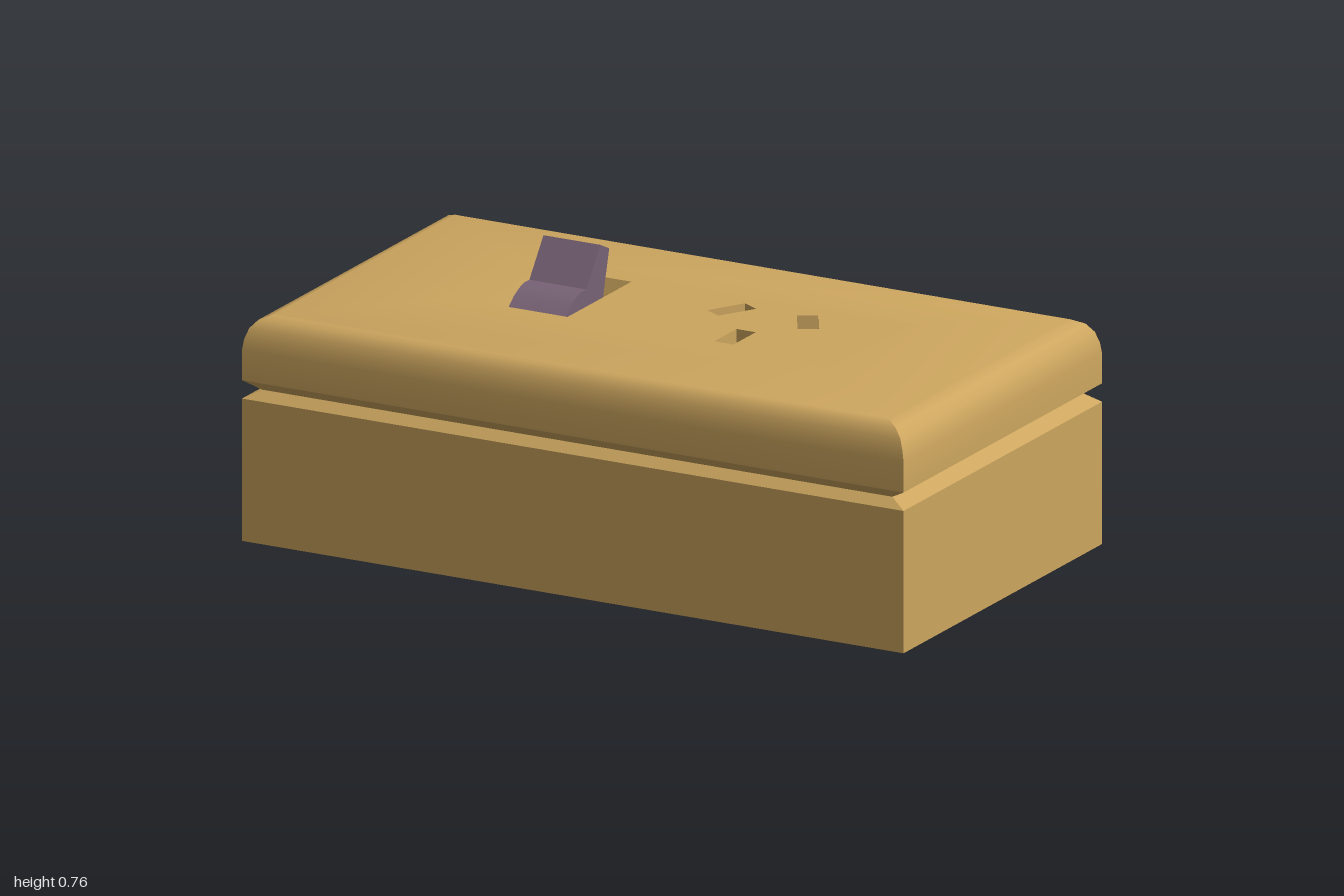
import * as THREE from 'three';
import { toCreasedNormals } from 'three/addons/utils/BufferGeometryUtils.js';

const TOP = 0.638;

// four [x, z] corners, counter-clockwise seen from above
const rect = (x, z, hx, hz, turn = 0) =>
  [[hx, hz], [hx, -hz], [-hx, -hz], [-hx, hz]].map(([a, b]) => [
    x + a * Math.cos(turn) + b * Math.sin(turn),
    z - a * Math.sin(turn) + b * Math.cos(turn),
  ]);

// skin over a list of four-cornered rings, each { c: corners, y }
function loft(rings, { capStart = false, capEnd = false } = {}) {
  const pos = [];
  const point = (r, j) => [r.c[j % 4][0], r.y, r.c[j % 4][1]];
  const quad = (a, b, c, d) => pos.push(...a, ...b, ...c, ...a, ...c, ...d);
  for (let i = 0; i < rings.length - 1; i++) {
    const r = rings[i], s = rings[i + 1];
    for (let j = 0; j < 4; j++) quad(point(r, j), point(r, j + 1), point(s, j + 1), point(s, j));
  }
  const first = rings[0], last = rings[rings.length - 1];
  if (capStart) quad(...[3, 2, 1, 0].map((j) => point(first, j)));
  if (capEnd) quad(...[0, 1, 2, 3].map((j) => point(last, j)));
  const g = new THREE.BufferGeometry();
  g.setAttribute('position', new THREE.Float32BufferAttribute(pos, 3));
  return toCreasedNormals(g, 0.6);
}

export function createModel() {
  const group = new THREE.Group();
  const tan = new THREE.MeshStandardMaterial({ color: 0xcda65f });
  tan.name = 'tan';
  const purple = new THREE.MeshStandardMaterial({ color: 0x776275 });
  purple.name = 'dusty purple';
  const add = (name, geometry, material) => {
    const mesh = new THREE.Mesh(geometry, material);
    mesh.name = name;
    group.add(mesh);
  };
  const ring = ([hx, hz, y]) => ({ c: rect(0, 0, hx, hz), y });

  // box below the groove
  add('base', loft([[1, 0.54, 0], [1, 0.54, 0.395], [0.952, 0.515, 0.42]].map(ring), { capStart: true }), tan);

  // rounded cover plate with a slightly domed top
  add('cover', loft([
    [0.952, 0.515, 0.42], [1, 0.54, 0.446], [1, 0.54, 0.53], [0.995, 0.537, 0.56],
    [0.984, 0.529, 0.59], [0.963, 0.516, 0.613], [0.93, 0.493, 0.626], [0.6, 0.22, TOP],
  ].map(ring)), tan);

  // openings in the middle of the top
  const switchHole = rect(-0.355, -0.007, 0.132, 0.174);
  const slots = [
    rect(0.125, -0.1, 0.028, 0.058, -Math.PI / 6),
    rect(0.355, -0.1, 0.028, 0.058, Math.PI / 6),
    rect(0.247, 0.102, 0.029, 0.061),
  ];
  const toPoints = (c) => c.map(([x, z]) => new THREE.Vector2(x, -z));
  const face = new THREE.Shape(toPoints(rect(0, 0, 0.6, 0.22)));
  face.holes = [switchHole, ...slots].map((c) => new THREE.Path(toPoints(c)));
  add('topFace', new THREE.ShapeGeometry(face).rotateX(-Math.PI / 2).translate(0, TOP, 0), tan);

  // recess around the switch and the three pin slots
  add('switchRecess', loft([
    { c: switchHole, y: TOP },
    { c: rect(-0.353, -0.005, 0.117, 0.16), y: 0.585 },
  ], { capEnd: true }), tan);
  slots.forEach((c, i) => add('pinSlot' + (i + 1),
    loft([{ c, y: TOP }, { c, y: 0.598 }], { capEnd: true }), tan));

  // rocker switch, drawn from the side and extruded across
  const profile = [
    [0.125, 0.585], [0.125, 0.602], [0.08, 0.638], [0.05, 0.653], [0.022, 0.66],
    [-0.005, 0.66], [-0.082, 0.762], [-0.13, 0.739], [-0.105, 0.645], [-0.09, 0.585],
  ].map(([z, y]) => new THREE.Vector2(-z, y));
  const rocker = new THREE.ExtrudeGeometry(new THREE.Shape(profile), { depth: 0.172, bevelEnabled: false });
  rocker.rotateY(Math.PI / 2).translate(-0.434, 0, 0);
  add('rockerSwitch', toCreasedNormals(rocker, 0.5), purple);

  return group;
}
